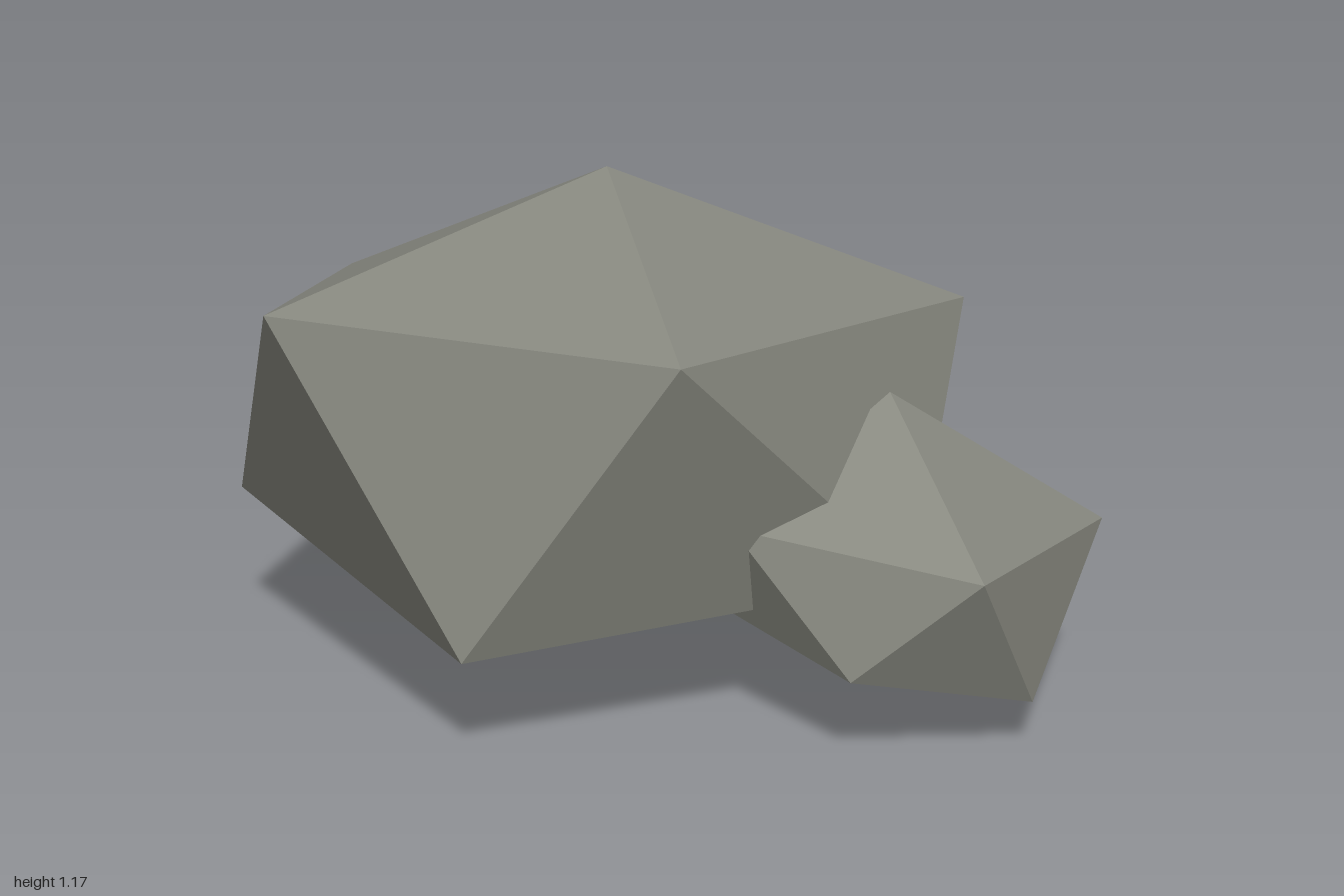
import * as THREE from 'three';

const stone = new THREE.MeshStandardMaterial({ color: 0x85867d, flatShading: true });
stone.name = 'grey stone';

// Irregular 20-sided rock: top point, ring of five, lower ring of five (offset half a step), bottom point.
// Rings run counterclockwise seen from above.
function makeRock(name, top, upper, lower, bottom) {
  const corners = [];
  for (let i = 0; i < 5; i++) {
    const j = (i + 1) % 5;
    corners.push(
      top, upper[i], upper[j],
      upper[i], lower[i], upper[j],
      upper[j], lower[i], lower[j],
      bottom, lower[j], lower[i]
    );
  }
  const geometry = new THREE.BufferGeometry();
  geometry.setAttribute('position', new THREE.Float32BufferAttribute(corners.flat(), 3));
  geometry.computeVertexNormals();
  const mesh = new THREE.Mesh(geometry, stone);
  mesh.name = name;
  return mesh;
}

export function createModel() {
  const model = new THREE.Group();
  model.name = 'rocks';

  // Main boulder
  model.add(makeRock('largeRock',
    [-0.12, 1.17, 0.09],
    [[-0.84, 0.93, 0.49], [0.05, 0.895, 0.76], [0.70, 0.845, 0], [0.02, 0.80, -0.775], [-0.77, 0.81, -0.43]],
    [[-0.41, 0.25, 0.77], [0.57, 0.30, 0.40], [0.46, 0.27, -0.43], [-0.39, 0.27, -0.785], [-1, 0.36, -0.04]],
    [-0.21, 0, 0.03]));

  // Small rock sunk into its front corner
  model.add(makeRock('smallRock',
    [0.51, 0.715, 0.325],
    [[0.68, 0.437, 0.785], [0.995, 0.415, 0.305], [0.69, 0.41, -0.11], [0.27, 0.55, 0.09], [0.16, 0.475, 0.555]],
    [[0.81, 0.115, 0.645], [0.80, 0.18, 0.17], [0.42, 0.18, 0], [0.10, 0.26, 0.40], [0.41, 0.20, 0.745]],
    [0.51, 0.06, 0.42]));

  return model;
}
